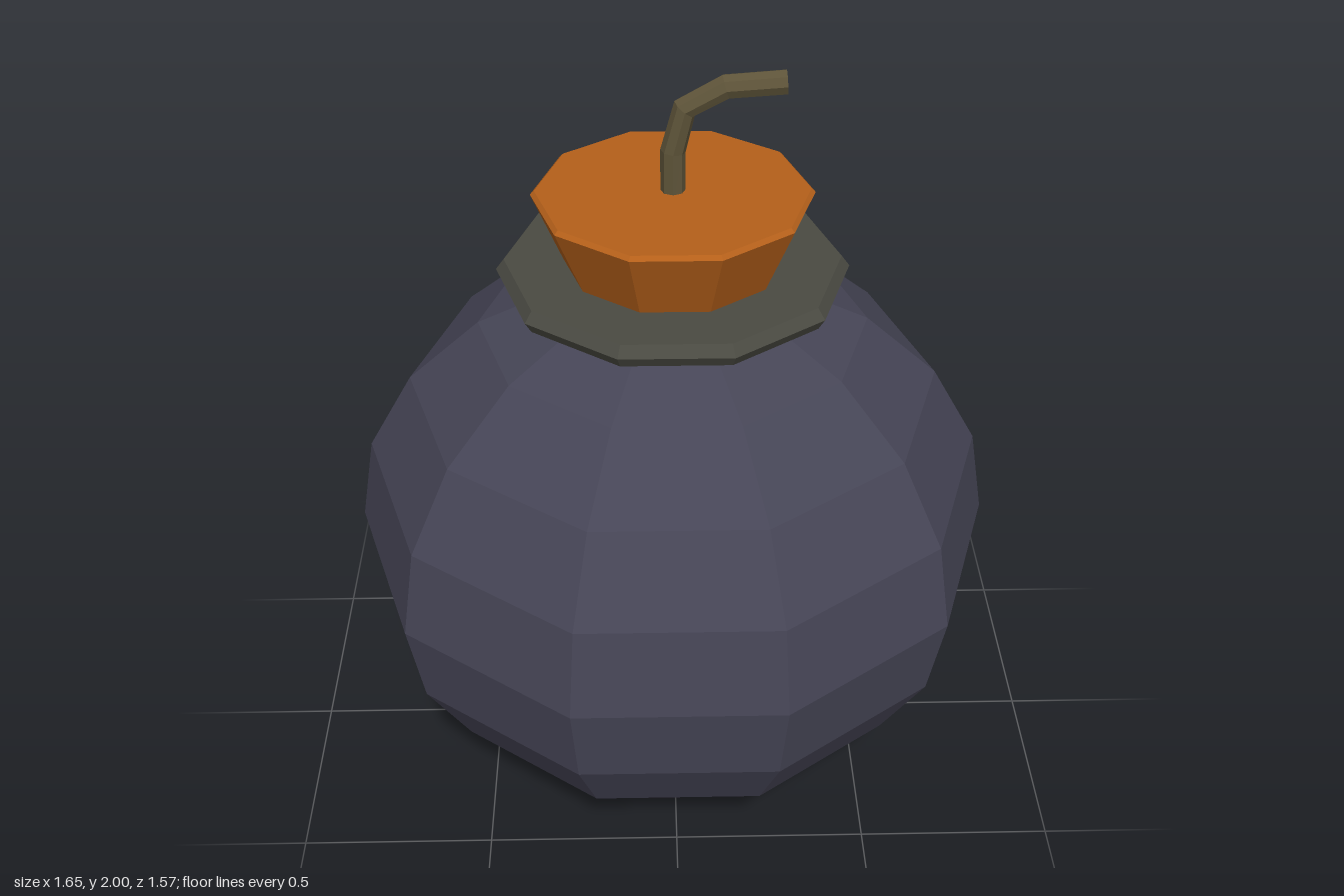
import * as THREE from 'three';

const SIDES = 10;

function addMesh(group, name, geometry, color) {
  const material = new THREE.MeshStandardMaterial({ color, flatShading: true });
  const mesh = new THREE.Mesh(geometry, material);
  mesh.name = name;
  group.add(mesh);
  return mesh;
}

// Ten-sided turned part with a corner on the x axis; profile is [radius, y] from bottom to top
function turned(profile) {
  const points = profile.map(([r, y]) => new THREE.Vector2(r, y));
  return new THREE.LatheGeometry(points, SIDES).rotateY(Math.PI / 2);
}

// Bent path whose tube rings fall exactly on the given points
class BentPath extends THREE.Curve {
  constructor(points) {
    super();
    this.points = points;
  }
  getPointAt(u) {
    return this.points[Math.round(u * (this.points.length - 1))].clone();
  }
  getPoint(t) {
    return this.getPointAt(t);
  }
  getTangentAt(u) {
    const p = this.points, last = p.length - 1, i = Math.round(u * last);
    const dir = (a, b) => p[b].clone().sub(p[a]).normalize();
    if (i === 0) return dir(0, 1);
    if (i === last) return dir(last - 1, last);
    return dir(i - 1, i).add(dir(i, i + 1)).normalize();
  }
}

export function createModel() {
  const model = new THREE.Group();
  model.name = 'roundFlask';

  // Faceted, slightly flattened body
  const body = new THREE.SphereGeometry(1, SIDES, 10).scale(0.827, 0.737, 0.827).translate(0, 0.738, 0);
  addMesh(model, 'body', body, 0x464556);

  // Bevelled collar around the neck
  addMesh(model, 'collar', turned([
    [0, 1.43], [0.335, 1.43], [0.415, 1.457], [0.432, 1.486], [0.412, 1.513], [0, 1.513],
  ]), 0x4a4a42);

  // Flared stopper with a small bevel on its rim
  addMesh(model, 'stopper', turned([
    [0, 1.48], [0.253, 1.48], [0.34, 1.688], [0.33, 1.698], [0, 1.698],
  ]), 0xb5601a);

  // Bent fuse with a closed tip
  const path = new BentPath([
    [0, 1.68], [0, 1.8], [0.027, 1.907], [0.122, 1.96], [0.262, 1.97],
  ].map(([x, y]) => new THREE.Vector3(x, y, 0)));
  const fuse = new THREE.Group();
  fuse.name = 'fuse';
  model.add(fuse);
  addMesh(fuse, 'fuseCord', new THREE.TubeGeometry(path, path.points.length - 1, 0.03, 8), 0x5e5439);
  const tip = addMesh(fuse, 'fuseTip', new THREE.CircleGeometry(0.03, 8), 0x5e5439);
  tip.position.copy(path.getPointAt(1));
  tip.lookAt(path.getPointAt(1).add(path.getTangentAt(1)));

  return model;
}
